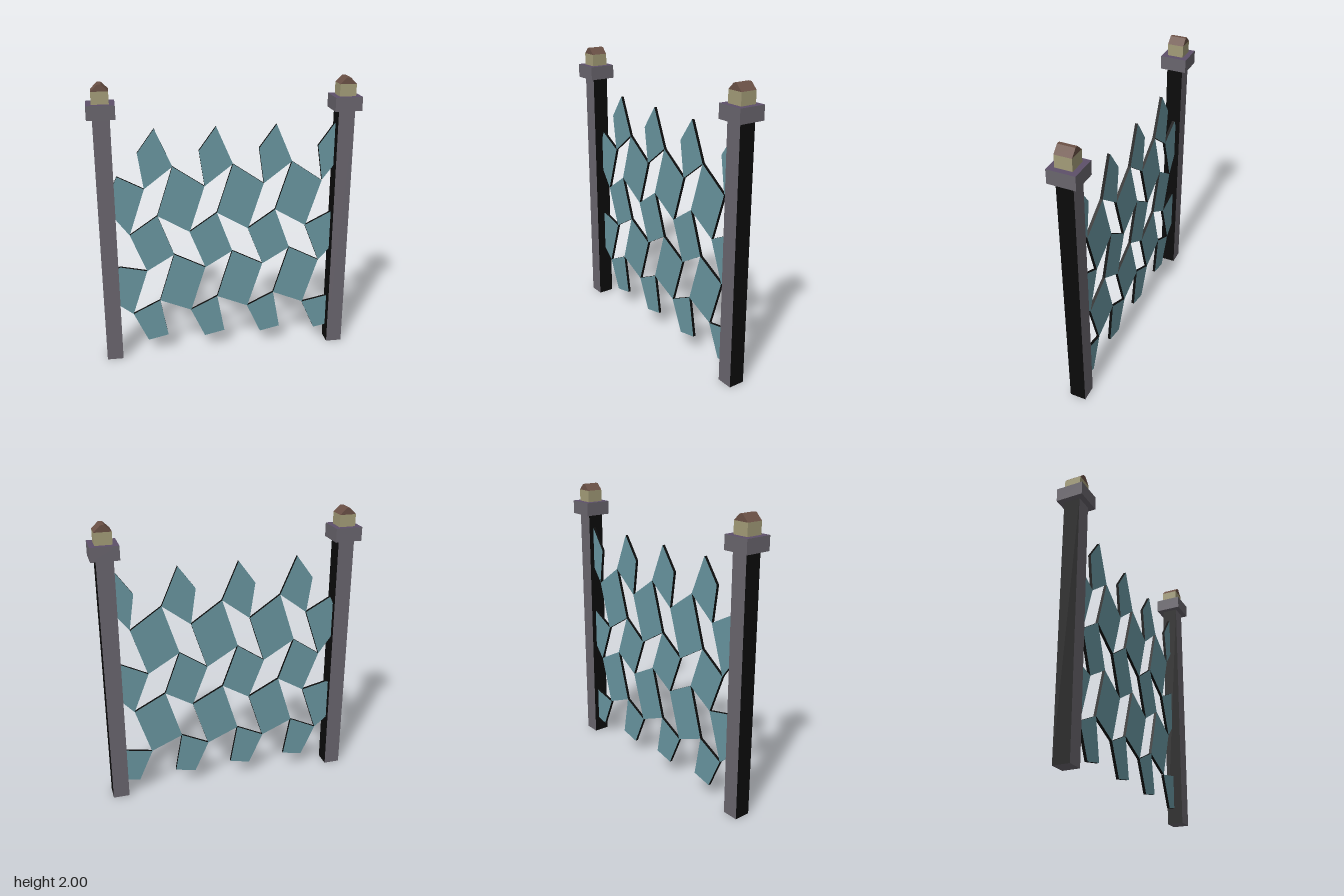
import * as THREE from 'three';

const mat = (name, color) => {
  const m = new THREE.MeshStandardMaterial({ color });
  m.name = name;
  return m;
};

export function createModel() {
  const grey = mat('stone grey', 0x69656d);
  const purple = mat('cap top purple', 0x5d5069);
  const black = mat('black', 0x0b0b0b);
  const teal = mat('teal', 0x68959f);
  const cream = mat('cream', 0xa39c78);
  const brown = mat('roof brown', 0x6b5146);

  const model = new THREE.Group();
  model.name = 'tiledGate';

  const add = (parent, name, geometry, material, y = 0, z = 0) => {
    const mesh = new THREE.Mesh(geometry, material);
    mesh.name = name;
    mesh.position.set(0, y, z);
    parent.add(mesh);
  };
  const polygon = (points) => new THREE.Shape(points.map(([x, y]) => new THREE.Vector2(x, y)));
  const extrude = (points, depth) => new THREE.ExtrudeGeometry(polygon(points), { depth, bevelEnabled: false });

  // Posts, each with a cap and a small house-shaped finial
  for (const side of [-1, 1]) {
    const post = new THREE.Group();
    post.name = side < 0 ? 'rightPost' : 'leftPost';
    post.position.x = side * 0.824;
    add(post, 'shaft', new THREE.BoxGeometry(0.114, 1.78, 0.114), [black, black, grey, grey, grey, grey], 0.89);
    add(post, 'cap', new THREE.BoxGeometry(0.187, 0.095, 0.187), [grey, grey, purple, grey, grey, grey], 1.8255);
    add(post, 'finialBlock', new THREE.BoxGeometry(0.114, 0.083, 0.114), cream, 1.9145);
    const roof = [[-0.057, 0], [0.057, 0], [0.012, 0.044], [-0.012, 0.044]];
    add(post, 'finialRoof', extrude(roof, 0.114), brown, 1.956, -0.057);
    model.add(post);
  }

  // Screen of interlocking four-sided tiles with black edges
  const panel = new THREE.Group();
  panel.name = 'tilePanel';
  model.add(panel);
  const tile = (name, points) => add(panel, name, extrude(points, 0.02), [teal, black], 0, -0.024);

  // Repeating rows, from top to bottom: first tile's corners
  const step = 0.418;
  const rows = [
    ['topPetal', [[-0.483, 1.687], [-0.367, 1.42], [-0.565, 1.27], [-0.602, 1.524]]],
    ['upperLargeTile', [[-0.367, 1.42], [-0.148, 1.27], [-0.256, 0.937], [-0.48, 1.07]]],
    ['middleSmallTile', [[-0.48, 1.07], [-0.37, 0.772], [-0.565, 0.657], [-0.676, 0.937]]],
    ['lowerLargeTile', [[-0.37, 0.772], [-0.148, 0.657], [-0.256, 0.323], [-0.48, 0.418]]],
    ['bottomTile', [[-0.48, 0.418], [-0.428, 0.132], [-0.574, 0.101], [-0.676, 0.323]]],
  ];
  for (const [name, points] of rows) {
    for (let i = 0; i < 3; i++) tile(name, points.map(([x, y]) => [x + i * step, y]));
  }

  // Cut tiles that end inside the posts
  tile('upperEndTile', [[-0.745, 1.366], [-0.565, 1.27], [-0.676, 0.937], [-0.775, 1.07], [-0.775, 1.3]]);
  tile('lowerEndTile', [[-0.752, 0.699], [-0.565, 0.657], [-0.676, 0.323], [-0.775, 0.402], [-0.775, 0.69]]);
  tile('topEndPetal', [[0.652, 1.524], [0.779, 1.7], [0.779, 1.39], [0.689, 1.275]]);
  tile('middleEndTile', [[0.578, 0.937], [0.779, 1.037], [0.779, 0.755], [0.689, 0.657]]);
  tile('bottomEndTile', [[0.578, 0.32], [0.779, 0.36], [0.779, 0.116], [0.678, 0.096]]);

  return model;
}
